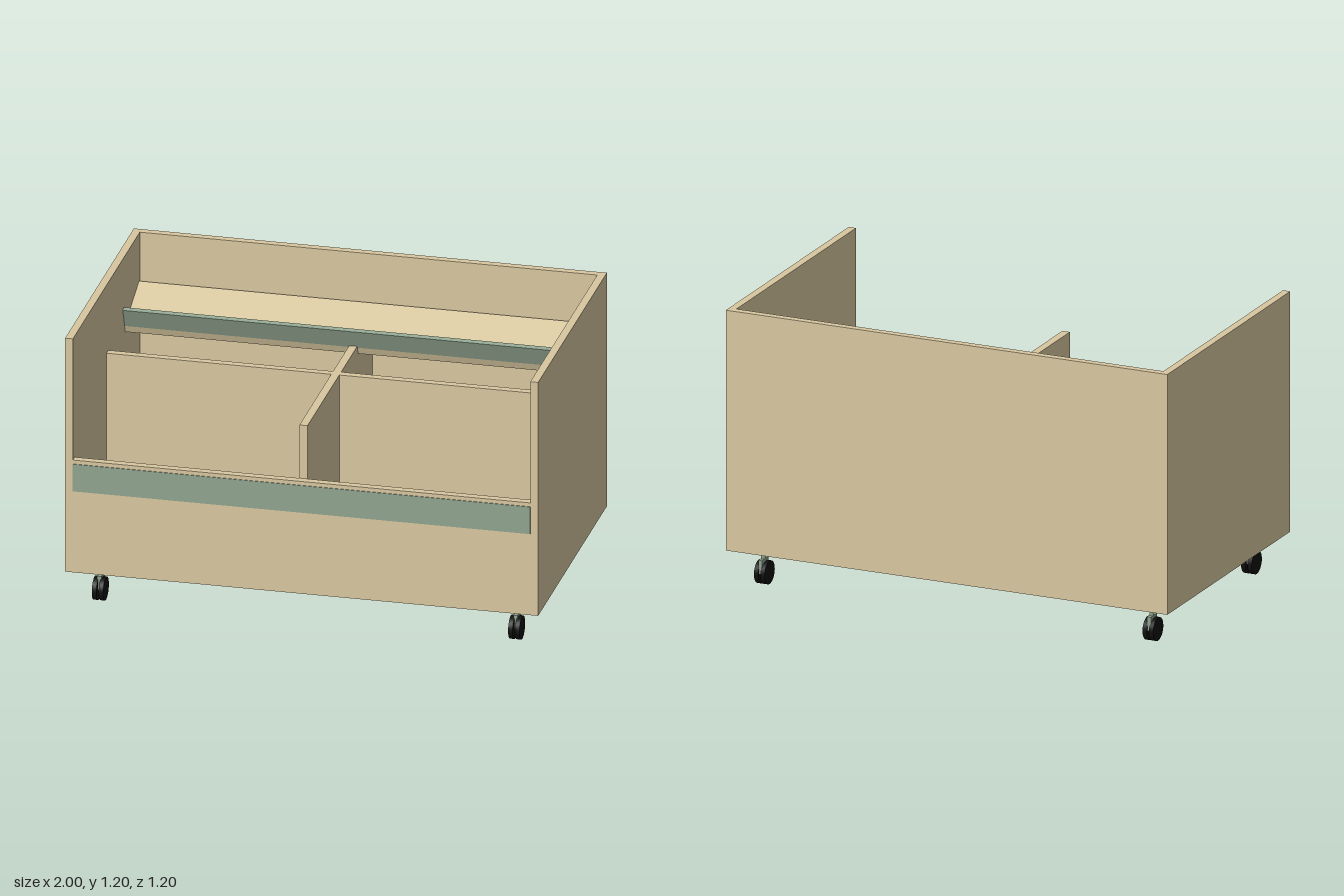
import * as THREE from 'three';

const wood = new THREE.MeshStandardMaterial({ color: 0xd8c7a0 });
wood.name = 'plywood';
const green = new THREE.MeshStandardMaterial({ color: 0x8fa38e });
green.name = 'sage green';
const black = new THREE.MeshStandardMaterial({ color: 0x111111 });
black.name = 'black rubber';

const T = 0.033; // panel thickness
const IN = 1 - T; // half of the inner width
const FLOOR = 0.16;

// Box given by its min and max corners
function slab(name, material, [x0, y0, z0], [x1, y1, z1]) {
  const geometry = new THREE.BoxGeometry(x1 - x0, y1 - y0, z1 - z0);
  geometry.translate((x0 + x1) / 2, (y0 + y1) / 2, (z0 + z1) / 2);
  const mesh = new THREE.Mesh(geometry, material);
  mesh.name = name;
  return mesh;
}

// Twin-wheel caster, origin on the ground below the axle
function makeCaster(name) {
  const caster = new THREE.Group();
  caster.name = name;
  const stem = new THREE.Mesh(new THREE.CylinderGeometry(0.009, 0.009, 0.06, 20), green);
  stem.name = 'casterStem';
  stem.position.set(0, 0.135, -0.011);
  caster.add(stem, slab('casterHousing', green, [-0.009, 0.05, -0.04], [0.009, 0.11, 0.02]));
  for (const side of [-1, 1]) {
    const wheel = new THREE.Mesh(new THREE.CylinderGeometry(0.05, 0.05, 0.019, 40), black);
    wheel.name = 'casterWheel';
    wheel.rotation.z = Math.PI / 2;
    wheel.position.set(side * 0.0145, 0.05, 0);
    caster.add(wheel);
  }
  return caster;
}

export function createModel() {
  const model = new THREE.Group();
  model.name = 'rollingBin';

  // Outer box: low front, tall sides and back
  model.add(
    slab('rightSide', wood, [-1, FLOOR, -0.6], [-IN, 1.2, 0.6]),
    slab('leftSide', wood, [IN, FLOOR, -0.6], [1, 1.2, 0.6]),
    slab('backPanel', wood, [-IN, FLOOR, -0.6], [IN, 1.2, -0.6 + T]),
    slab('frontPanel', wood, [-IN, FLOOR, 0.6 - T], [IN, 0.66, 0.6]),
    slab('floorPanel', wood, [-IN, FLOOR, -0.6 + T], [IN, FLOOR + T, 0.6 - T]),
    slab('frontStripe', green, [-IN, 0.522, 0.6], [IN, 0.643, 0.603])
  );

  // Crossed dividers making four compartments
  const top = 0.897;
  model.add(
    slab('lengthDivider', wood, [-0.017, FLOOR + T, -0.6 + T], [0.017, top, 0.6 - T]),
    slab('crossDividerRight', wood, [-IN, FLOOR + T, -0.02], [-0.017, top, 0.013]),
    slab('crossDividerLeft', wood, [0.017, FLOOR + T, -0.02], [IN, top, 0.013])
  );

  // Sloped shelf against the back wall, with a raised green lip
  const tray = new THREE.Group();
  tray.name = 'slopedTray';
  tray.position.set(0, 0.897, -0.32);
  tray.rotation.x = THREE.MathUtils.degToRad(21);
  tray.add(
    slab('trayShelf', wood, [-IN, -T, -0.252], [IN, 0, 0.019]),
    slab('trayLip', green, [-IN, 0, 0], [IN, 0.088, 0.019])
  );
  model.add(tray);

  // Four casters
  for (const x of [-0.88, 0.88]) {
    for (const z of [-0.482, 0.48]) {
      const caster = makeCaster((z > 0 ? 'front' : 'back') + (x > 0 ? 'Left' : 'Right') + 'Caster');
      caster.position.set(x, 0, z);
      model.add(caster);
    }
  }
  return model;
}
